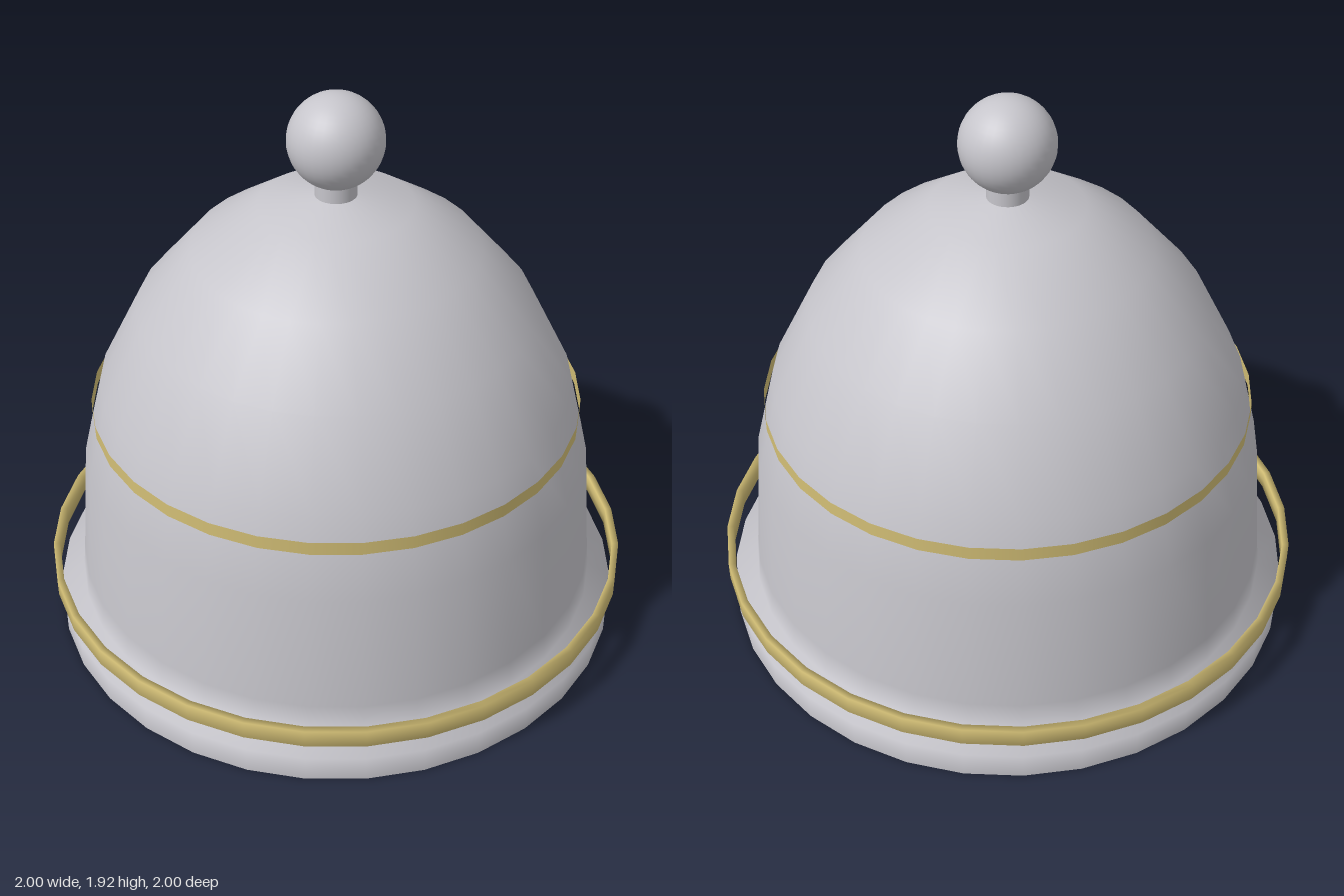
import * as THREE from 'three';

const SEGMENTS = 32;

export function createModel() {
  const group = new THREE.Group();
  const silver = new THREE.MeshStandardMaterial({ color: 0xc6c5cb, side: THREE.DoubleSide });
  silver.name = 'silver';
  const gold = new THREE.MeshStandardMaterial({ color: 0xd3bf76, side: THREE.DoubleSide });
  gold.name = 'gold';

  const add = (name, geometry, material, y = 0) => {
    const mesh = new THREE.Mesh(geometry, material);
    mesh.name = name;
    mesh.position.y = y;
    group.add(mesh);
  };
  const lathe = (points) =>
    new THREE.LatheGeometry(points.map(([r, y]) => new THREE.Vector2(r, y)), SEGMENTS);

  // Hollow dome with a flared foot, open underneath
  add('dome', lathe([
    [0.98, 0], [0.98, 0.09], [0.9, 0.135], [0.89, 0.23], [0.855, 0.64],
    [0.785, 0.92], [0.65, 1.19], [0.47, 1.4], [0.25, 1.55], [0, 1.595],
  ]), silver);

  // Neck and ball on top
  add('neck', new THREE.CylinderGeometry(0.068, 0.068, 0.08, SEGMENTS), silver, 1.6);
  add('knob', new THREE.SphereGeometry(0.155, SEGMENTS, 24), silver, 1.77);

  // Thin band around the waist
  add('waistBand', new THREE.CylinderGeometry(0.82, 0.82, 0.046, SEGMENTS, 1, true), gold, 0.822);

  // Raised ring standing clear of the foot
  add('footRing', lathe([
    [0.977, 0.2], [0.977, 0.168], [1, 0.168], [1, 0.232], [0.977, 0.232], [0.977, 0.2],
  ]), gold);

  return group;
}
